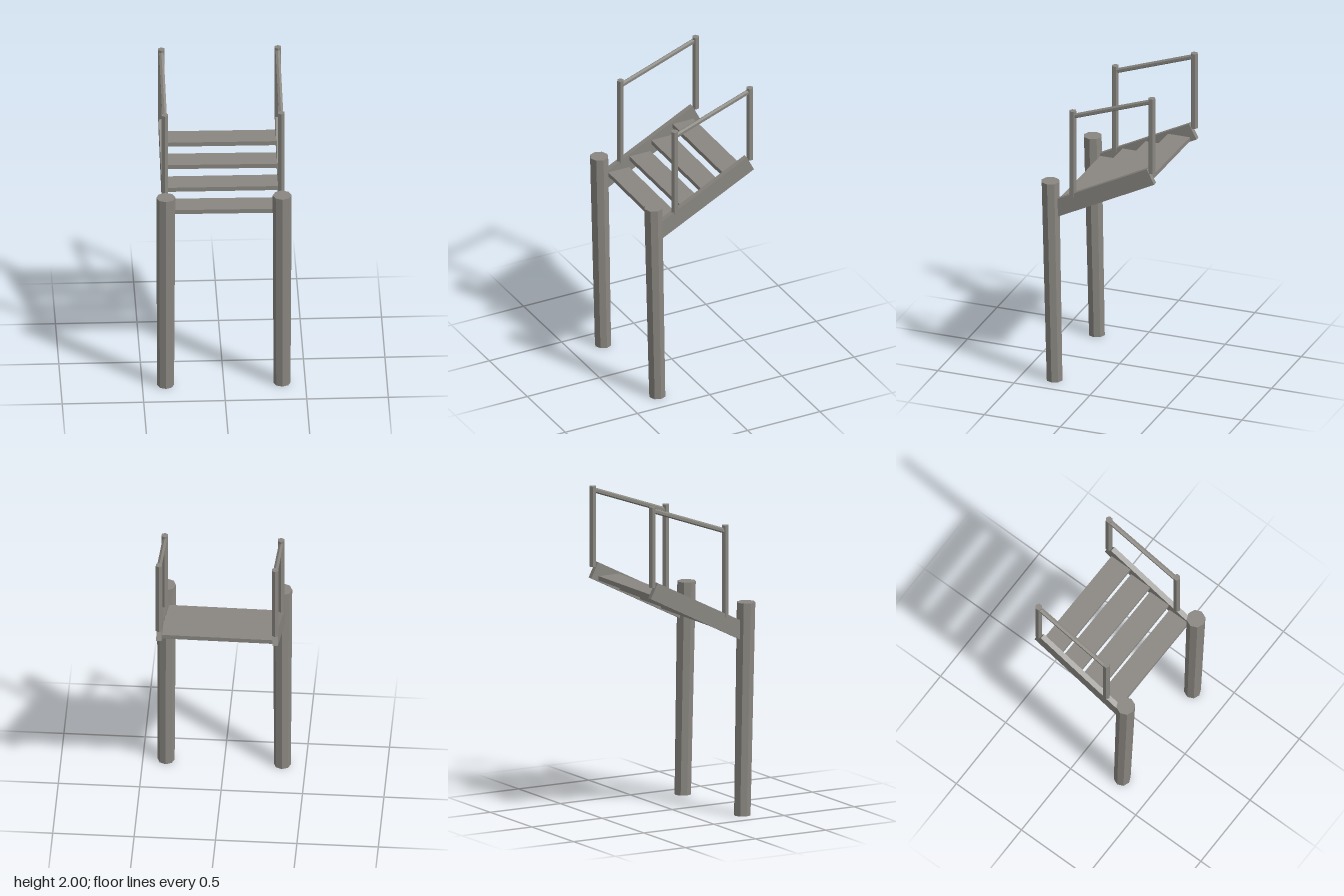
import * as THREE from 'three';

export function createModel() {
  const root = new THREE.Group();
  root.name = 'stairs';
  const weatheredWood = new THREE.MeshStandardMaterial({ color: 0x8a8781 });
  weatheredWood.name = 'weatheredWood';
  weatheredWood.flatShading = true;

  const add = (name, geometry, parent = root) => {
    const mesh = new THREE.Mesh(geometry, weatheredWood);
    mesh.name = name;
    parent.add(mesh);
    return mesh;
  };

  // Upright or sloping pole between two points, with ends cut level by shearing
  const levelPole = (name, parent, r0, r1, sides, y0, y1, z0, z1) => {
    const g = new THREE.CylinderGeometry(r1, r0, y1 - y0, sides);
    const p = g.attributes.position;
    for (let i = 0; i < p.count; i++) {
      const t = p.getY(i) / (y1 - y0) + 0.5;
      p.setZ(i, p.getZ(i) + z0 + (z1 - z0) * t);
    }
    g.computeVertexNormals();
    add(name, g, parent).position.y = (y0 + y1) / 2;
  };

  for (const [side, x] of [['left', 0.357], ['right', -0.357]]) {
    const group = new THREE.Group();
    group.name = side + 'Side';
    group.position.x = x;
    root.add(group);

    // Tall leaning support post
    levelPole('supportPost', group, 0.052, 0.0585, 8, 0, 1.333, 0.288, 0.315);

    // Sloping side board, lower end buried in the post
    const low = new THREE.Vector3(0, 1.155, 0.285);
    const high = new THREE.Vector3(0, 1.475, -0.349);
    const board = add('stringer', new THREE.BoxGeometry(0.033, 0.108, low.distanceTo(high)), group);
    board.position.copy(low).lerp(high, 0.5);
    board.rotation.x = Math.atan2(high.y - low.y, low.z - high.z);

    // Handrail with its two uprights
    levelPole('frontRailPost', group, 0.0225, 0.0225, 6, 1.255, 1.83, 0.167, 0.167);
    levelPole('backRailPost', group, 0.0225, 0.0225, 6, 1.497, 2, -0.353, -0.353);
    const a = new THREE.Vector3(0, 1.793, 0.167);
    const b = new THREE.Vector3(0, 1.978, -0.353);
    const rail = add('handrail', new THREE.CylinderGeometry(0.016, 0.016, a.distanceTo(b), 6), group);
    rail.position.copy(a).lerp(b, 0.5);
    rail.quaternion.setFromUnitVectors(new THREE.Vector3(0, 1, 0), b.clone().sub(a).normalize());
  }

  // Four treads, set slightly askew
  const skew = [0.013, 0.007, 0.016, 0.011];
  for (let i = 0; i < 4; i++) {
    const tread = add('tread', new THREE.BoxGeometry(0.69, 0.028, 0.144));
    tread.position.set(0, 1.198 + i * 0.0745, 0.192 - i * 0.1485);
    tread.rotation.y = -skew[i];
  }
  return root;
}
